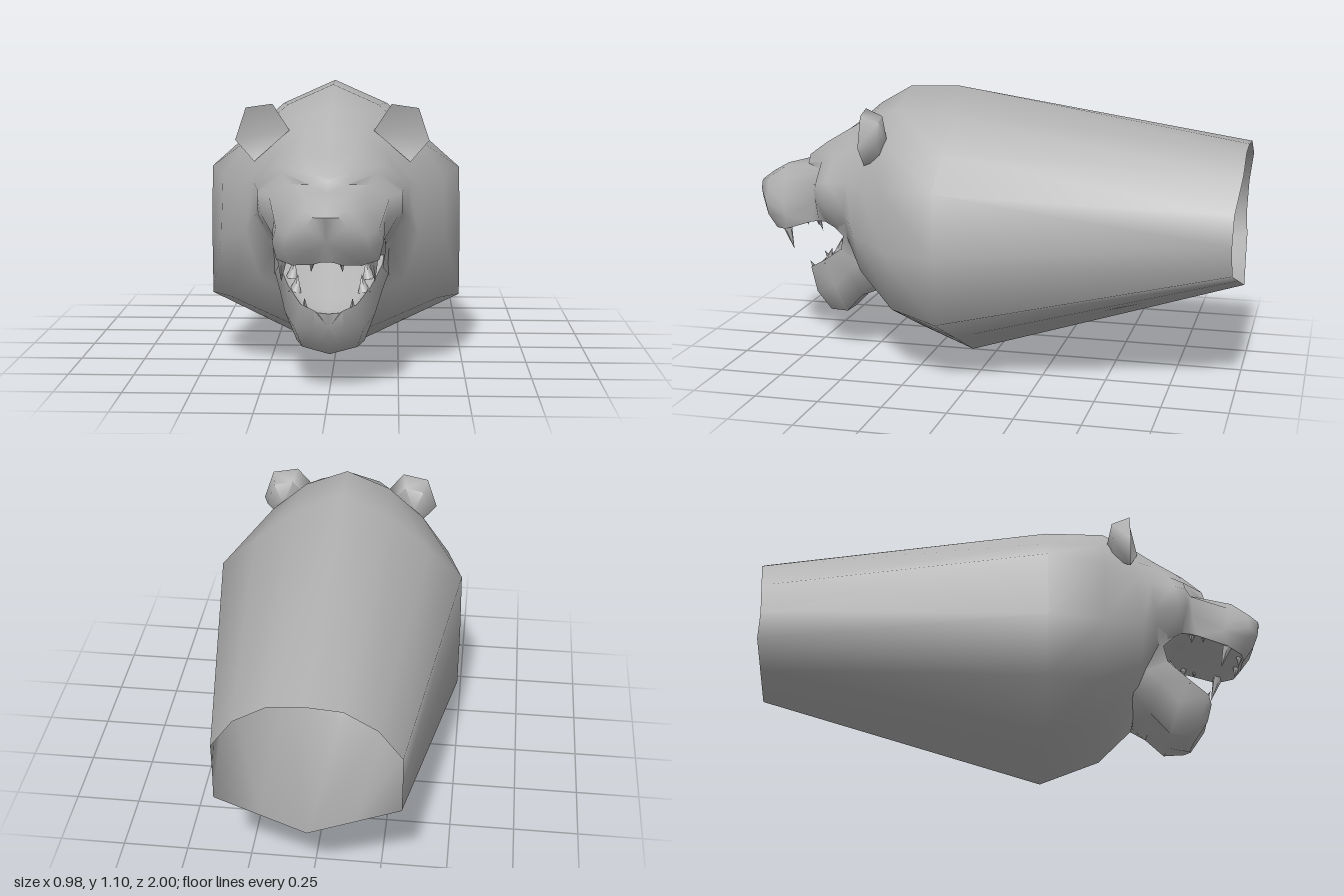
import * as THREE from 'three';
import { toCreasedNormals } from 'three/addons/utils/BufferGeometryUtils.js';

const hide = new THREE.MeshStandardMaterial({ color: 0xb0b0b0, side: THREE.DoubleSide });
hide.name = 'grey hide';

function build(points, faces) {
  const g = new THREE.BufferGeometry();
  g.setAttribute('position', new THREE.Float32BufferAttribute(points.flat(), 3));
  g.setIndex(faces.flat());
  return toCreasedNormals(g, 1.3);
}

// Skin mirrored half sections (top centre to bottom centre), running back to front
function loft(sections) {
  const rings = sections.map(s => [
    ...s, ...s.slice(1, -1).reverse().map(([x, y, z]) => [-x, y, z]),
  ]);
  const n = rings[0].length, faces = [];
  for (let i = 0; i < rings.length - 1; i++) {
    for (let j = 0; j < n; j++) {
      const a = i * n + j, b = i * n + (j + 1) % n, c = a + n, d = b + n;
      // flip the diagonal on the mirrored side
      if (j < n / 2) faces.push([a, c, b], [b, c, d]);
      else faces.push([a, d, b], [a, c, d]);
    }
  }
  // close the front end
  const last = rings.at(-1), base = (rings.length - 1) * n;
  const mid = [0, 1, 2].map(k => last.reduce((t, p) => t + p[k], 0) / n);
  const points = [...rings.flat(), mid];
  for (let j = 0; j < n; j++) faces.push([base + n, base + (j + 1) % n, base + j]);
  return build(points, faces);
}

// Hollow neck, open at the rear; its underside is a straight keel from flank to middle
function neckSection(flank, bottom) {
  const keel = flank.at(-1).map((v, k) => (v + bottom[k]) / 2);
  return [...flank, keel, bottom];
}
const neck = [
  neckSection([[0, .91, -1], [.13, .9, -1], [.25, .83, -1], [.335, .7, -.98], [.335, .58, -.975], [.335, .47, -.98]], [0, .35, -1]),
  neckSection([[0, 1.095, .15], [.2, 1.005, .13], [.35, .875, .13], [.485, .755, .13], [.49, .5, .13], [.49, .245, .12]], [0, 0, .1]),
  neckSection([[0, 1.09, .35], [.17, 1.015, .36], [.31, .89, .36], [.42, .74, .35], [.43, .5, .34], [.4, .27, .32]], [0, .09, .33]),
  neckSection([[0, 1.015, .48], [.12, .98, .48], [.23, .87, .46], [.32, .73, .47], [.32, .54, .5], [.27, .38, .49]], [0, .22, .46]),
];

// Face sections run from forehead to lip; the palate arches between the lips
function faceSection(...outer) {
  const [x, y, z] = outer.at(-1);
  return [...outer, [x / 2, y + x * .16, z], [0, y + x * .2, z]];
}
const face = [
  faceSection([0, .93, .58], [.1, .925, .575], [.2, .85, .555], [.285, .74, .54], [.28, .62, .55], [.21, .51, .57]),
  // brow ridge
  faceSection([0, .845, .7], [.09, .86, .685], [.185, .815, .62], [.265, .73, .63], [.26, .64, .65], [.2, .555, .66]),
  faceSection([0, .79, .775], [.07, .803, .765], [.17, .795, .68], [.26, .72, .675], [.25, .65, .68], [.195, .555, .69]),
  // eye sockets
  faceSection([0, .778, .785], [.07, .765, .775], [.135, .755, .7], [.215, .71, .7], [.2, .63, .705], [.19, .55, .72]),
  // muzzle and nose
  faceSection([0, .75, .89], [.08, .745, .88], [.13, .7, .86], [.18, .62, .85], [.195, .57, .83], [.18, .51, .84]),
  faceSection([0, .71, .96], [.07, .7, .95], [.11, .66, .94], [.14, .61, .94], [.15, .56, .925], [.12, .5, .9]),
  faceSection([0, .68, 1], [.045, .68, .99], [.07, .65, .985], [.065, .61, .98], [.055, .56, .96], [.05, .505, .92]),
];

// Dropped lower jaw with a rim around the sloping mouth floor
const jaw = [
  [[0, .47, .5], [.15, .48, .5], [.2, .52, .5], [.22, .42, .48], [.18, .3, .46], [0, .25, .45]],
  [[0, .41, .58], [.13, .42, .6], [.19, .45, .59], [.19, .35, .57], [.14, .24, .53], [0, .24, .54]],
  [[0, .35, .67], [.11, .36, .69], [.15, .385, .68], [.165, .28, .64], [.125, .165, .6], [0, .15, .61]],
  [[0, .305, .735], [.08, .31, .75], [.1, .335, .765], [.125, .24, .73], [.1, .16, .68], [0, .14, .66]],
  [[0, .3, .765], [.04, .305, .77], [.05, .315, .78], [.055, .24, .76], [.045, .15, .7], [0, .135, .69]],
];

export function createModel() {
  const model = new THREE.Group();
  model.name = 'roaringCatHead';
  const add = (name, geometry) => {
    const m = new THREE.Mesh(geometry, hide);
    m.name = name;
    model.add(m);
    return m;
  };
  const pair = (name, geometry) => {
    add(name + 'Left', geometry);
    add(name + 'Right', geometry).scale.x = -1;
  };

  // One skin from neck to nose; its underside closes the throat
  add('neckAndHead', loft([...neck, ...face]));
  add('lowerJaw', loft(jaw));

  // Stretched skin at the mouth corners
  pair('mouthCorner', build([
    [.27, .6, .53], [.2, .57, .66], [.25, .5, .5], [.2, .5, .585], [.22, .38, .48], [.19, .44, .6],
  ], [[0, 2, 1], [1, 2, 3], [2, 4, 3], [3, 4, 5]]));

  // Cupped ears: the back is the rim drawn in and pushed rearward
  const rim = [[.155, .93, .5], [.22, 1.025, .47], [.32, 1.01, .46], [.36, .89, .46], [.29, .81, .46]];
  const back = rim.map(([x, y, z]) => [.27 + (x - .27) * .75, .92 + (y - .92) * .75, z - .07]);
  const earFaces = [];
  rim.forEach((_, i) => {
    const j = (i + 1) % rim.length;
    earFaces.push([10, j, i], [i, j, i + 5], [j, j + 5, i + 5], [11, i + 5, j + 5]);
  });
  pair('ear', build([...rim, ...back, [.265, .91, .43], [.27, .91, .37]], earFaces));

  // Teeth: pointed low-sided cones from base to tip
  const tooth = (base, tip, r) => {
    const a = new THREE.Vector3(...base), d = new THREE.Vector3(...tip).sub(a);
    const g = new THREE.ConeGeometry(r, d.length(), 5).translate(0, d.length() / 2, 0);
    g.applyQuaternion(new THREE.Quaternion().setFromUnitVectors(new THREE.Vector3(0, 1, 0), d.normalize()));
    return g.translate(a.x, a.y, a.z);
  };
  pair('upperFang', tooth([.155, .55, .85], [.165, .425, .81], .026));
  pair('lowerFang', tooth([.085, .3, .74], [.085, .36, .775], .016));
  pair('upperIncisor', tooth([.05, .53, .905], [.055, .475, .895], .016));
  for (const k of [0, 1]) {
    pair('upperMolar', tooth([.165, .575, .75 - k * .045], [.165, .53, .745 - k * .045], .018));
    pair('lowerMolar', tooth([.125 + k * .015, .36 + k * .04, .68 - k * .05], [.115 + k * .015, .425 + k * .05, .665 - k * .05], .024));
  }
  return model;
}
